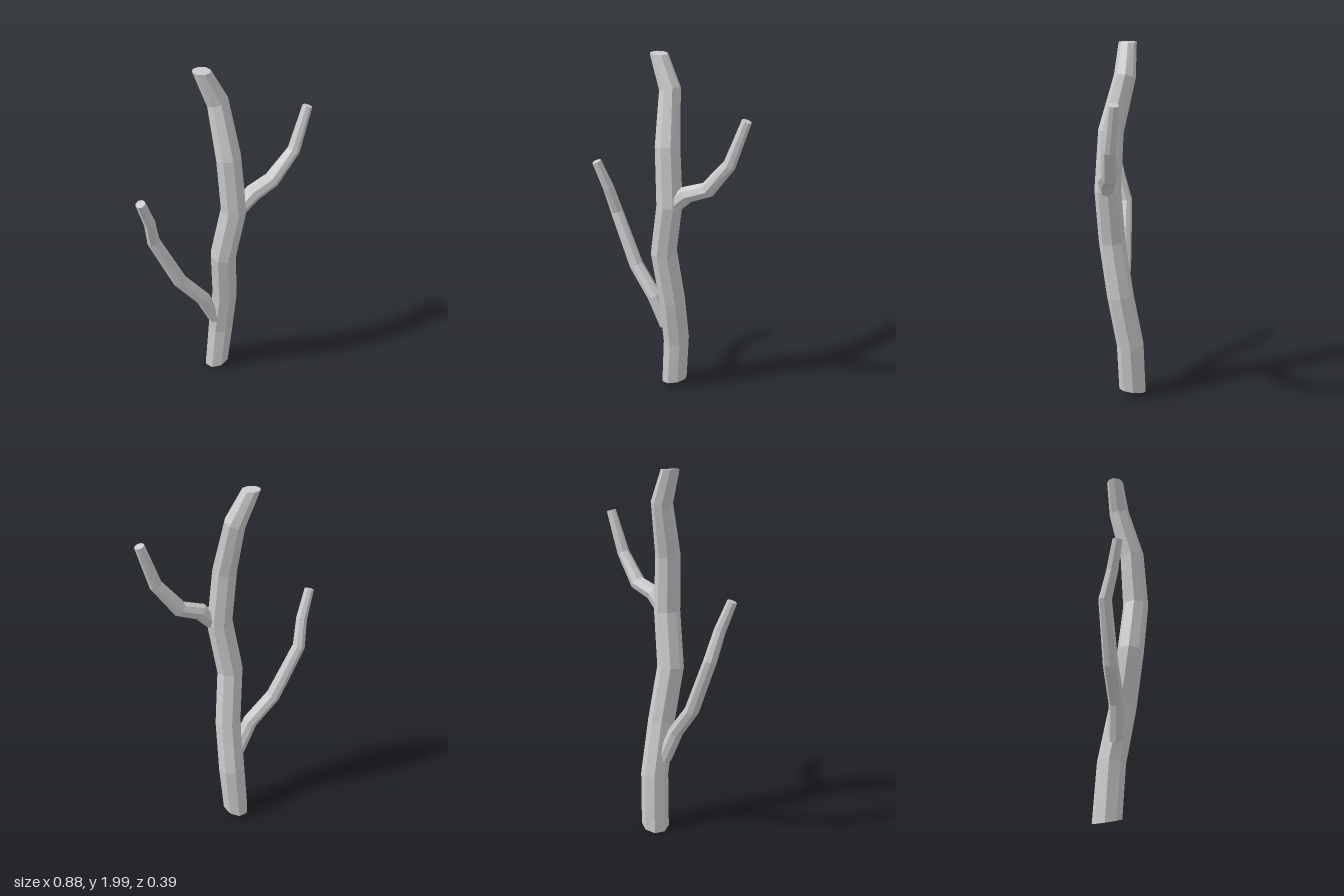
import * as THREE from 'three';

const SIDES = 8;

// Faceted limb through rings [x, y, z, radius], closed at both ends.
// Optional start and end directions tilt the cut faces.
function limb(name, rings, material, startDir, endDir) {
  const centres = rings.map(([x, y, z]) => new THREE.Vector3(x, y, z));
  const last = rings.length - 1;
  const direction = (i) => new THREE.Vector3().subVectors(centres[i + 1], centres[i]).normalize();
  const positions = [];
  const index = [];

  rings.forEach(([, , , radius], i) => {
    // Mitre each ring between its neighbouring segments
    let t;
    if (i === 0) t = startDir || direction(0);
    else if (i === last) t = endDir || direction(last - 1);
    else t = direction(i - 1).add(direction(i));
    t = t.clone().normalize();
    const u = new THREE.Vector3(0, 0, 1).projectOnPlane(t).normalize();
    const v = new THREE.Vector3().crossVectors(t, u);
    for (let k = 0; k < SIDES; k++) {
      const a = ((k + 0.5) / SIDES) * Math.PI * 2;
      const p = centres[i].clone()
        .addScaledVector(u, Math.cos(a) * radius)
        .addScaledVector(v, Math.sin(a) * radius);
      positions.push(p.x, p.y, p.z);
    }
  });

  // Bark faces
  for (let i = 0; i < last; i++) {
    for (let k = 0; k < SIDES; k++) {
      const a = i * SIDES + k;
      const b = i * SIDES + ((k + 1) % SIDES);
      index.push(a, b, b + SIDES, a, b + SIDES, a + SIDES);
    }
  }
  // Cut ends
  const top = last * SIDES;
  for (let k = 1; k < SIDES - 1; k++) {
    index.push(0, k + 1, k);
    index.push(top, top + k, top + k + 1);
  }

  const indexed = new THREE.BufferGeometry();
  indexed.setAttribute('position', new THREE.Float32BufferAttribute(positions, 3));
  indexed.setIndex(index);
  const geometry = indexed.toNonIndexed();
  geometry.computeVertexNormals();
  const mesh = new THREE.Mesh(geometry, material);
  mesh.name = name;
  return mesh;
}

export function createModel() {
  const model = new THREE.Group();
  model.name = 'bareTree';
  const bark = new THREE.MeshStandardMaterial({ color: 0xcccccc, flatShading: true });

  // Trunk, with a slanted cut at the foot and a level cut at the top
  model.add(limb('trunk', [
    [-0.045, 0.028, -0.10, 0.077],
    [-0.02, 0.33, -0.093, 0.076],
    [0.005, 0.63, -0.042, 0.074],
    [-0.002, 0.94, 0.01, 0.073],
    [0.053, 1.24, 0.012, 0.071],
    [0.025, 1.55, 0.005, 0.067],
    [-0.03, 1.83, -0.05, 0.057],
    [-0.105, 1.998, -0.035, 0.047],
  ], bark, new THREE.Vector3(-0.3, 1, 0), new THREE.Vector3(0.03, 1, 0)));

  // Upper branch on the left side
  model.add(limb('leftBranch', [
    [0.09, 1.25, 0.0, 0.042],
    [0.152, 1.32, -0.025, 0.046],
    [0.25, 1.365, -0.083, 0.043],
    [0.36, 1.52, -0.128, 0.034],
    [0.42, 1.75, -0.175, 0.026],
  ], bark));

  // Lower branch on the right side
  model.add(limb('rightBranch', [
    [-0.05, 0.43, -0.045, 0.042],
    [-0.118, 0.605, -0.005, 0.042],
    [-0.243, 0.765, 0.033, 0.04],
    [-0.372, 1.07, 0.075, 0.035],
    [-0.38, 1.22, 0.12, 0.031],
    [-0.413, 1.375, 0.17, 0.026],
  ], bark));

  return model;
}
